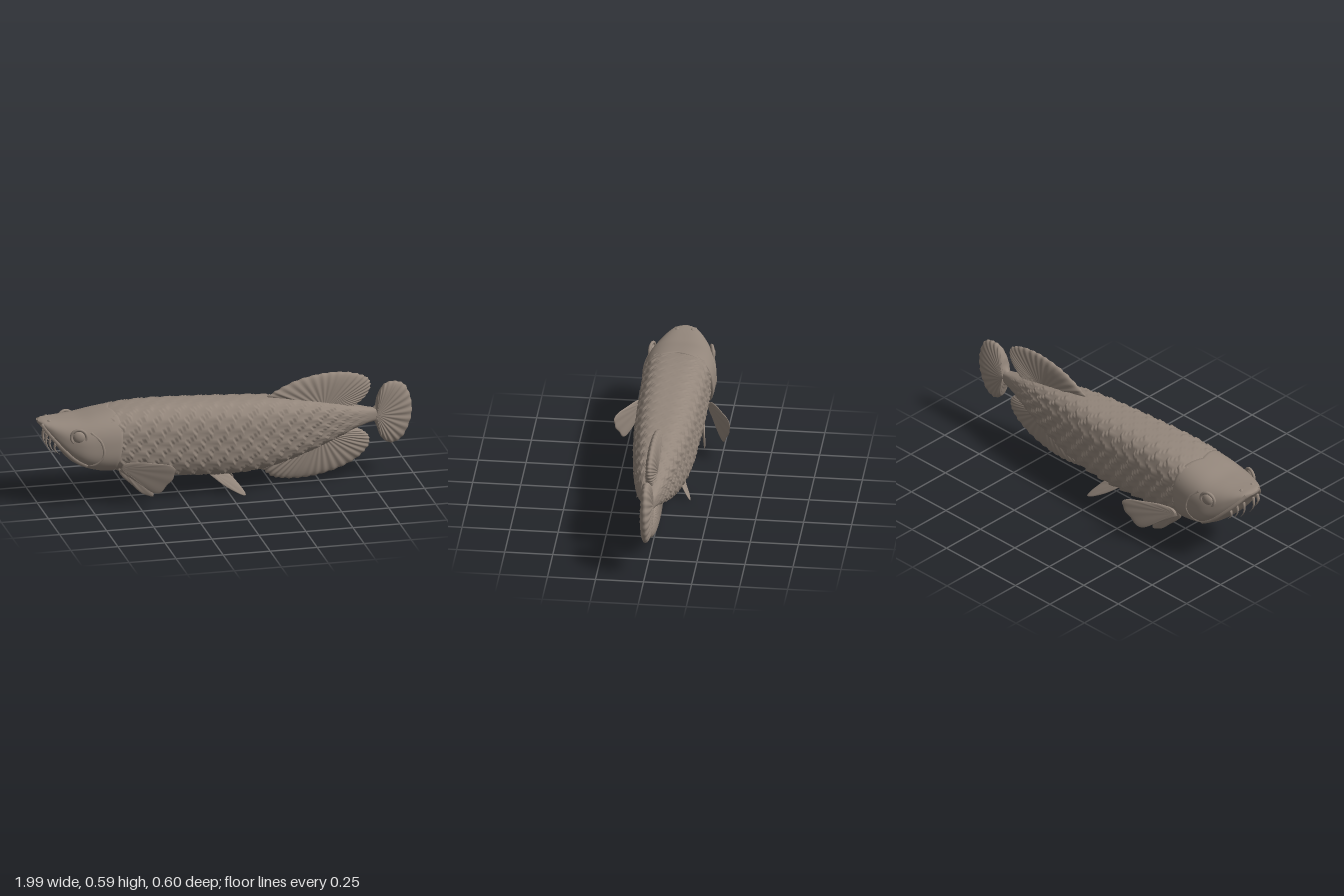
import * as THREE from 'three';
import { mergeVertices } from 'three/addons/utils/BufferGeometryUtils.js';

const skin = new THREE.MeshStandardMaterial({ color: 0x94877c, side: THREE.DoubleSide });
skin.name = 'brown grey skin';

// Cross-sections along the fish: x, top y, bottom y, half width
const BODY = [
  [-0.75, 0.46, 0.21, 0.15], [-0.6, 0.495, 0.175, 0.17], [-0.45, 0.507, 0.14, 0.17],
  [-0.2, 0.503, 0.112, 0.163], [0, 0.493, 0.102, 0.156], [0.2, 0.483, 0.115, 0.138],
  [0.4, 0.458, 0.17, 0.11], [0.6, 0.42, 0.245, 0.073], [0.7, 0.395, 0.285, 0.05],
  [0.78, 0.378, 0.305, 0.03], [0.85, 0.37, 0.31, 0.02],
];
const HEAD = [
  [-1, 0.458, 0.445, 0.015], [-0.98, 0.463, 0.42, 0.058], [-0.95, 0.464, 0.38, 0.09],
  [-0.9, 0.464, 0.31, 0.128], [-0.85, 0.466, 0.252, 0.155], [-0.79, 0.47, 0.213, 0.178],
  [-0.7, 0.486, 0.183, 0.188], [-0.62, 0.497, 0.172, 0.188], [-0.56, 0.5, 0.168, 0.183],
];

function sampler(table) {
  const curve = new THREE.CubicInterpolant(table.map(r => r[0]), table.flatMap(r => r.slice(1)), 3);
  return x => {
    const [top, bottom, w] = curve.evaluate(x);
    return { cy: (top + bottom) / 2, h: (top - bottom) / 2, w };
  };
}
const bodyAt = sampler(BODY), headAt = sampler(HEAD);

// Rounded-box cross-section point at polar angle a
function sectionPoint(s, x, a, n, scale = 1, grow = 0, flare = 0) {
  const c = Math.cos(a), t = Math.sin(a);
  const r = scale / Math.pow(Math.abs(c) ** n + Math.abs(t) ** n, 1 / n);
  return [x, s.cy + t * r * (s.h + grow), c * r * (s.w + grow) * (1 - flare * t * r)];
}

// Height of the head's side surface at x, y
function headSide(x, y) {
  const s = headAt(x), k = THREE.MathUtils.clamp((y - s.cy) / s.h, -0.97, 0.97);
  return s.w * Math.pow(1 - Math.abs(k) ** 2.7, 1 / 2.7) * (1 - 0.06 * k);
}

// Smooth surface over a grid of points fn(u, v)
function gridGeometry(nu, nv, fn) {
  const pos = [], index = [];
  for (let i = 0; i <= nu; i++) for (let j = 0; j <= nv; j++) pos.push(...fn(i / nu, j / nv, i));
  for (let i = 0; i < nu; i++) for (let j = 0; j < nv; j++) {
    const a = i * (nv + 1) + j, b = a + nv + 1;
    index.push(a, a + 1, b, b, a + 1, b + 1);
  }
  let g = new THREE.BufferGeometry();
  g.setAttribute('position', new THREE.Float32BufferAttribute(pos, 3));
  g.setIndex(index);
  g = mergeVertices(g, 1e-5);
  g.computeVertexNormals();
  return g;
}

function add(parent, name, geometry) {
  const m = new THREE.Mesh(geometry, skin);
  m.name = name;
  parent.add(m);
  return m;
}

// Overlapping scales: each rises toward the tail, then steps down
function scaleRelief(x, v, a) {
  const row = v * 22, k = Math.floor(row), across = row - k - 0.5;
  const u = (x + 0.7) / 0.085 + (k % 2) * 0.5 + across * across * 1.6;
  const f = u - Math.floor(u);
  const sides = THREE.MathUtils.smoothstep(Math.abs(Math.cos(a)), 0.2, 0.75);
  const ends = 1 - THREE.MathUtils.smoothstep(x, 0.45, 0.8);
  return (f * f * 0.011 - 0.003) * (0.15 + 0.85 * sides) * ends;
}

function bodyGeometry() {
  const N = 230;
  return gridGeometry(N, 110, (u, v, i) => {
    const x = -0.75 + 1.6 * u, a = -Math.PI / 2 + v * Math.PI * 2;
    return sectionPoint(bodyAt(x), x, a, 3, i === 0 || i === N ? 0 : 1, scaleRelief(x, v % 1, a));
  });
}

// The head ends in a curved gill cover that overlaps the body
function headGeometry() {
  const N = 48;
  return gridGeometry(N, 72, (u, v, i) => {
    const a = -Math.PI / 2 + v * Math.PI * 2;
    const end = -0.65 + 0.06 * Math.abs(Math.cos(a)) + 0.025 * Math.sin(a);
    const t = Math.min(i / (N - 2), 1), x = -1 + (end + 1) * Math.pow(t, 1.6);
    const scale = i === 0 ? 0 : i === N ? 0.75 : i === N - 1 ? 0.96 : 1;
    return sectionPoint(headAt(x), x, a, 2.7, scale, 0, 0.06);
  });
}

// Rayed fin: fans out from a root to a curved outline; place() sets its z
function finGeometry(root, outline, thick, rays, place = () => 0) {
  const curve = new THREE.CatmullRomCurve3(outline.map(p => new THREE.Vector3(p[0], p[1], 0)));
  const R = 12;
  return gridGeometry(R * 2, rays * 6, (u, v) => {
    const side = u < 0.5 ? -1 : 1, s = 1 - Math.abs(1 - Math.abs(u * 2 - 1) - 1) ** 1.5;
    const p = curve.getPoint(v), ripple = Math.cos(v * rays * Math.PI * 2);
    const reach = s * (1 + 0.01 * ripple);
    const x = root[0] + (p.x - root[0]) * reach, y = root[1] + (p.y - root[1]) * reach;
    const half = thick * Math.sqrt(Math.max(0, 1 - s ** 4)) * Math.min(1, 12 * v, 12 * (1 - v))
      * (1 + 0.13 * ripple * s);
    return [x, y, place(x, y) + side * half];
  });
}

function tube(points, radius) {
  const curve = new THREE.CatmullRomCurve3(points.map(p => new THREE.Vector3(...p)));
  return new THREE.TubeGeometry(curve, 28, radius, 8);
}

// Tapering whisker hanging below the chin
function barbelGeometry(x, y, z, length) {
  const g = new THREE.ConeGeometry(0.009, length, 8, 8);
  g.rotateX(Math.PI);
  g.translate(0, -length / 2, 0);
  const p = g.attributes.position;
  for (let i = 0; i < p.count; i++) {
    const d = -p.getY(i) / length;
    p.setX(i, p.getX(i) + 0.03 * d * d - 0.012 * Math.sin(d * Math.PI));
  }
  g.translate(x, y, z);
  g.computeVertexNormals();
  return g;
}

// Everything that occurs once on each flank
function sideParts() {
  const g = new THREE.Group();
  const onHead = (pts, lift = 0) => pts.map(([x, y]) => [x, y, headSide(x, y) + lift]);

  const ez = headSide(-0.815, 0.4);
  const eye = add(g, 'eye', new THREE.SphereGeometry(0.031, 24, 16));
  eye.scale.z = 0.5;
  eye.position.set(-0.815, 0.4, ez - 0.001);
  const rim = add(g, 'eyeRim', new THREE.TorusGeometry(0.04, 0.008, 10, 32));
  rim.position.set(-0.815, 0.4, ez - 0.002);
  eye.rotation.y = rim.rotation.y = -0.25;

  add(g, 'lip', tube(onHead([[-0.985, 0.447], [-0.95, 0.4], [-0.89, 0.332], [-0.83, 0.275], [-0.77, 0.24]], -0.003), 0.012));
  add(g, 'cheekRidge', tube(onHead([[-0.75, 0.42], [-0.7, 0.37], [-0.69, 0.3], [-0.73, 0.25], [-0.78, 0.24]], -0.004), 0.008));
  const nostril = add(g, 'nostril', new THREE.SphereGeometry(0.011, 12, 8));
  nostril.position.set(-0.945, 0.458, 0.04);

  [[-0.955, 0.39, 0.035, 0.11], [-0.945, 0.385, 0.075, 0.095], [-0.925, 0.355, 0.1, 0.065]]
    .forEach(b => add(g, 'barbel', barbelGeometry(...b)));

  add(g, 'pectoralFin', finGeometry([-0.59, 0.215],
    [[-0.6, 0.2], [-0.575, 0.24], [-0.53, 0.254], [-0.43, 0.258], [-0.345, 0.248], [-0.34, 0.205],
      [-0.37, 0.15], [-0.425, 0.092], [-0.5, 0.135], [-0.57, 0.18], [-0.6, 0.2]],
    0.007, 9, x => 0.165 + (x + 0.59) * 0.54));
  add(g, 'lowerPectoralFin', finGeometry([-0.58, 0.2],
    [[-0.6, 0.2], [-0.56, 0.215], [-0.48, 0.155], [-0.43, 0.1], [-0.422, 0.047], [-0.47, 0.058],
      [-0.53, 0.11], [-0.59, 0.17], [-0.6, 0.2]],
    0.007, 6, (x, y) => 0.125 + (x + 0.6) * 0.2));
  add(g, 'pelvicFin', finGeometry([-0.08, 0.115],
    [[-0.11, 0.115], [-0.06, 0.135], [0, 0.105], [0.04, 0.066], [0.078, 0.002], [0.02, 0.022],
      [-0.05, 0.066], [-0.11, 0.115]],
    0.008, 6, (x, y) => 0.142 - y * 0.75));
  return g;
}

export function createModel() {
  const fish = new THREE.Group();
  fish.name = 'fish';
  add(fish, 'scaledBody', bodyGeometry());
  add(fish, 'head', headGeometry());

  add(fish, 'dorsalFin', finGeometry([0.52, 0.395],
    [[0.2, 0.47], [0.27, 0.512], [0.38, 0.56], [0.5, 0.585], [0.6, 0.589], [0.7, 0.572], [0.76, 0.54],
      [0.772, 0.5], [0.75, 0.45], [0.705, 0.41], [0.66, 0.385]], 0.027, 22));
  add(fish, 'analFin', finGeometry([0.5, 0.27],
    [[0.15, 0.13], [0.2, 0.085], [0.25, 0.045], [0.32, 0.029], [0.42, 0.026], [0.52, 0.04], [0.63, 0.073],
      [0.72, 0.125], [0.763, 0.18], [0.762, 0.225], [0.73, 0.258], [0.67, 0.29]], 0.027, 24));
  add(fish, 'tailFin', finGeometry([0.8, 0.343],
    [[0.76, 0.355], [0.8, 0.395], [0.815, 0.455], [0.85, 0.505], [0.9, 0.515], [0.95, 0.495], [0.982, 0.43],
      [0.992, 0.35], [0.975, 0.27], [0.935, 0.2], [0.88, 0.178], [0.83, 0.21], [0.808, 0.265], [0.79, 0.305],
      [0.76, 0.33]], 0.029, 24));

  // Matching flanks
  const left = sideParts();
  left.name = 'frontFlank';
  const right = sideParts();
  right.name = 'backFlank';
  right.scale.z = -1;
  fish.add(left, right);
  return fish;
}
